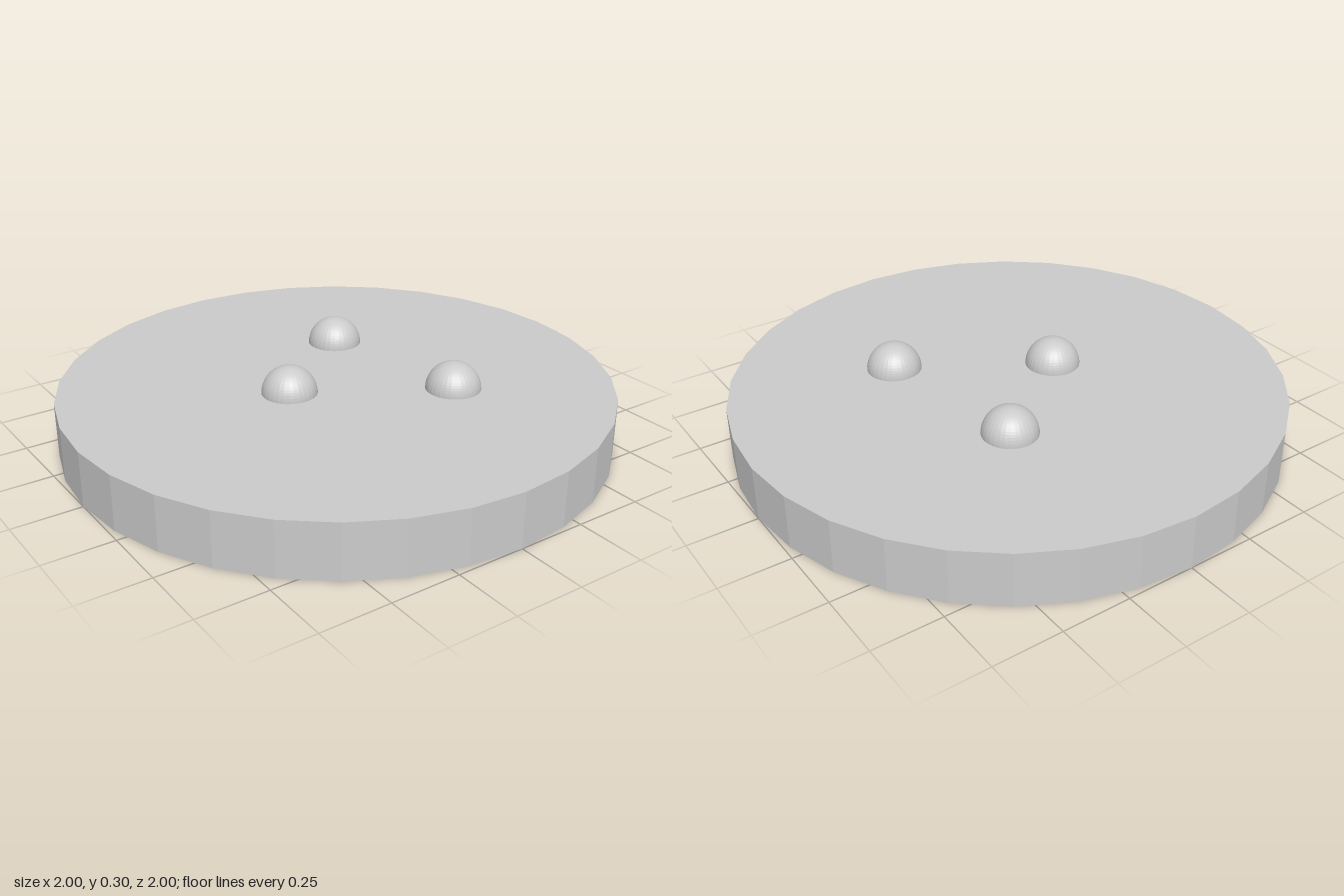
import * as THREE from 'three';

export function createModel() {
  const model = new THREE.Group();
  const material = new THREE.MeshStandardMaterial({ color: 0xcccccc, flatShading: true });

  // Flat round base with faceted rim
  const base = new THREE.Mesh(new THREE.CylinderGeometry(1, 1, 0.2, 32), material);
  base.name = 'discBase';
  base.position.y = 0.1;
  model.add(base);

  // Three balls sunk halfway into the top of the base
  const ballGeometry = new THREE.SphereGeometry(0.1, 32, 32);
  const ballSpots = [[-0.2, 0], [0.2, -0.3], [0.3, 0.3]];
  ballSpots.forEach(([x, z], i) => {
    const ball = new THREE.Mesh(ballGeometry, material);
    ball.name = `ball${i + 1}`;
    ball.position.set(x, 0.2, z);
    model.add(ball);
  });

  return model;
}
